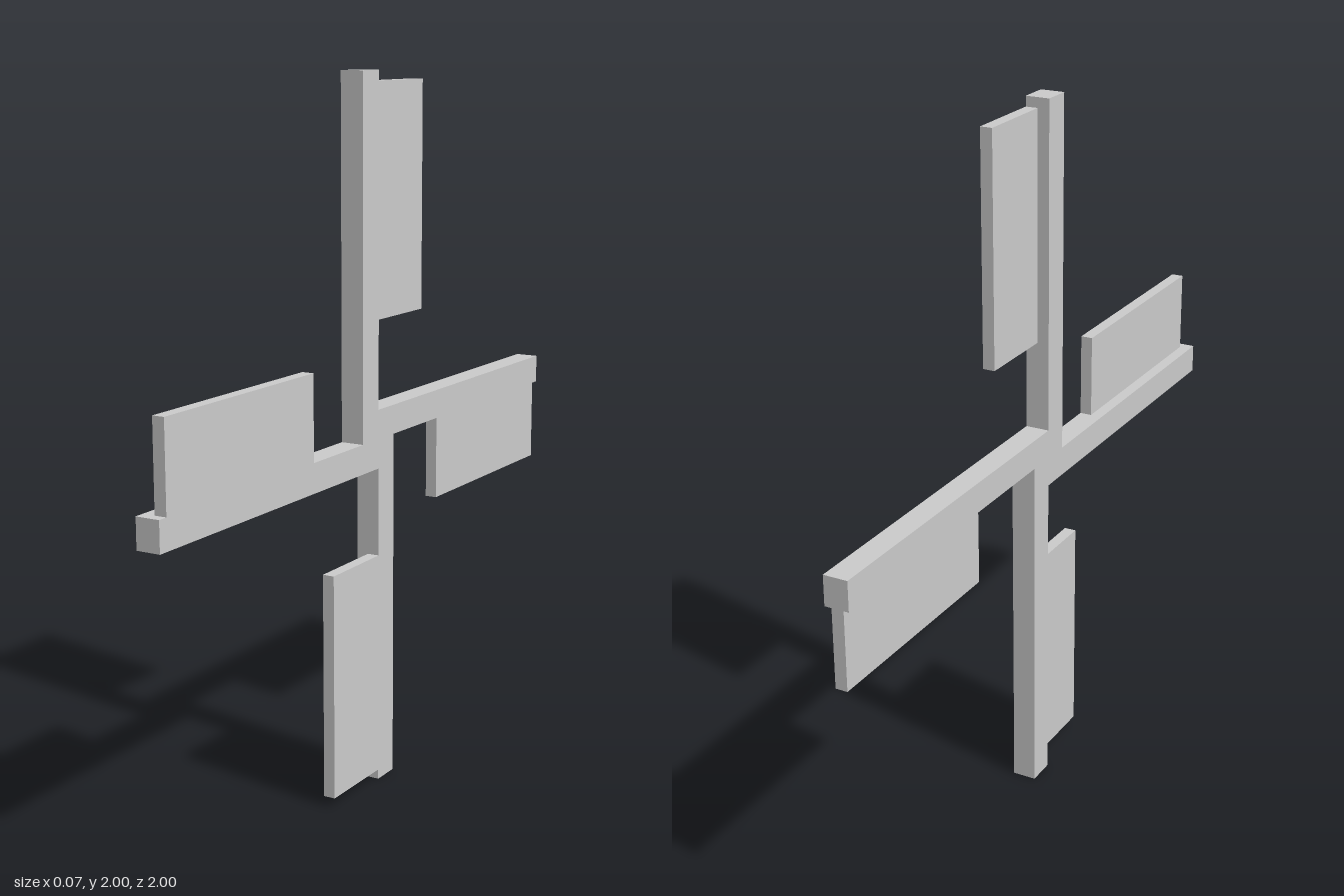
import * as THREE from 'three';

const material = new THREE.MeshStandardMaterial({ color: 0xcccccc, flatShading: true });

// Box given by its min and max corners
function box(name, [x0, y0, z0], [x1, y1, z1]) {
  const geometry = new THREE.BoxGeometry(x1 - x0, y1 - y0, z1 - z0);
  geometry.translate((x0 + x1) / 2, (y0 + y1) / 2, (z0 + z1) / 2);
  const mesh = new THREE.Mesh(geometry, material);
  mesh.name = name;
  return mesh;
}

export function createModel() {
  const model = new THREE.Group();
  model.name = 'windmillSails';
  const half = 0.034; // half thickness of a spar

  // Four identical sails in a pinwheel about the x axis
  for (let i = 0; i < 4; i++) {
    const sail = new THREE.Group();
    sail.name = `sail${i + 1}`;
    sail.add(
      box('spar', [-half, 0, 0], [half, 1, 0.083]),
      // thin panel, flush with the +x face of the spar
      box('panel', [0, 0.333, -0.238], [half, 0.972, 0])
    );
    sail.rotation.x = (i * Math.PI) / 2;
    sail.position.y = 1;
    model.add(sail);
  }
  return model;
}
